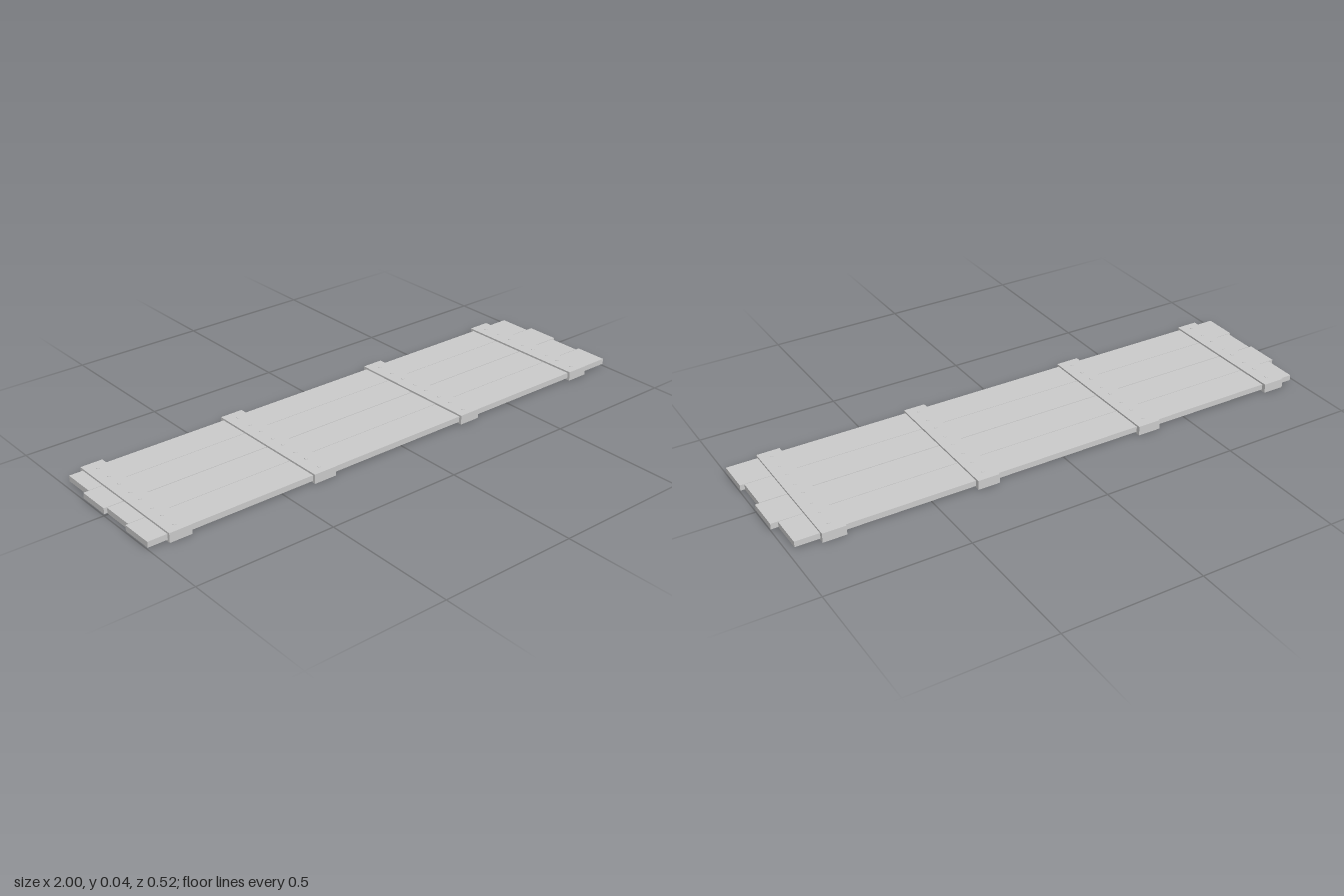
import * as THREE from 'three';

export function createModel() {
  const group = new THREE.Group();
  const wood = new THREE.MeshStandardMaterial({ color: 0xcccccc, flatShading: true });

  // Box given by its limits on each axis
  const slab = (name, [x0, x1], [y0, y1], [z0, z1]) => {
    const mesh = new THREE.Mesh(new THREE.BoxGeometry(x1 - x0, y1 - y0, z1 - z0), wood);
    mesh.name = name;
    mesh.position.set((x0 + x1) / 2, (y0 + y1) / 2, (z0 + z1) / 2);
    group.add(mesh);
  };

  // Four long planks of uneven length, with narrow gaps between them
  const planks = [
    { x: [-0.98, 0.975], z: [-0.245, -0.123] },
    { x: [-1, 1], z: [-0.121, 0.002] },
    { x: [-0.99, 0.985], z: [0.005, 0.126] },
    { x: [-1, 1], z: [0.128, 0.25] },
  ];
  planks.forEach((p, i) => slab(`plank${i + 1}`, p.x, [0.007, 0.0275], p.z));

  // Cross battens clasping the planks above and below, with a row of nail heads
  const battens = [[-0.93, -0.849], [-0.381, -0.295], [0.26, 0.34], [0.806, 0.889]];
  const nailRow = [-0.218, -0.15, -0.089, -0.021, 0.034, 0.102, 0.159, 0.227];
  const nailGeometry = new THREE.CylinderGeometry(0.006, 0.0065, 0.003, 8);

  battens.forEach((x, i) => {
    slab(`batten${i + 1}`, x, [0, 0.034], [-0.26, 0.26]);
    const nails = new THREE.Group();
    nails.name = `nails${i + 1}`;
    for (const z of nailRow) {
      const nail = new THREE.Mesh(nailGeometry, wood);
      nail.name = 'nailHead';
      nail.position.set((x[0] + x[1]) / 2, 0.034, z);
      nails.add(nail);
    }
    group.add(nails);
  });

  return group;
}
